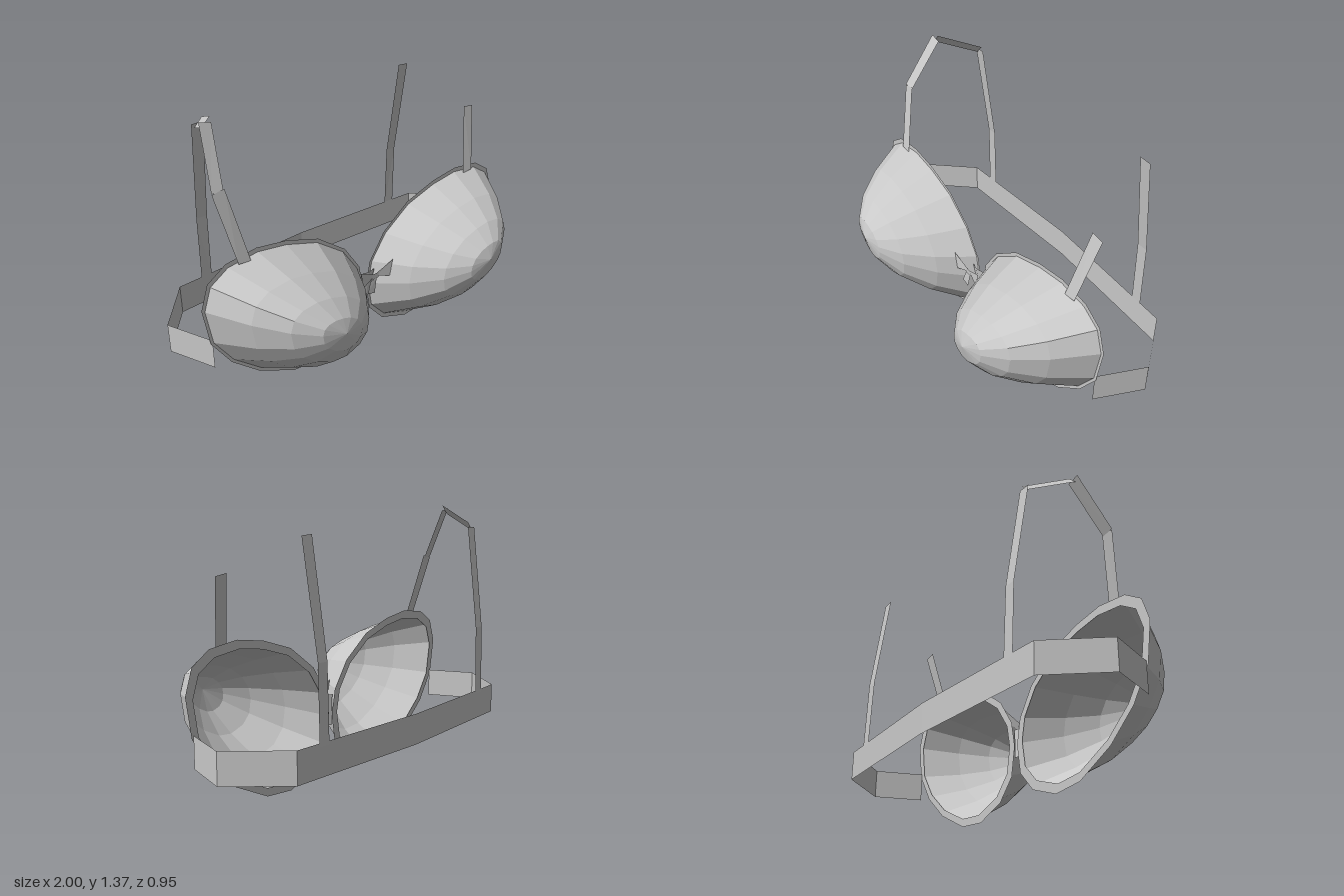
import * as THREE from 'three';

const fabric = new THREE.MeshStandardMaterial({ color: 0xc8c8c8, side: THREE.DoubleSide, flatShading: true });
fabric.name = 'grey fabric';

// Surface through rows of points; each row has the same count
function loft(name, rows, closed = false) {
  const n = rows[0].length, index = [];
  for (let r = 0; r < rows.length - 1; r++) {
    for (let i = 0; i < (closed ? n : n - 1); i++) {
      const j = (i + 1) % n, a = r * n, b = a + n;
      index.push(a + i, a + j, b + i, a + j, b + j, b + i);
    }
  }
  const geo = new THREE.BufferGeometry();
  geo.setAttribute('position', new THREE.Float32BufferAttribute(rows.flat(2), 3));
  geo.setIndex(index);
  const flat = geo.toNonIndexed();
  flat.computeVertexNormals();
  const mesh = new THREE.Mesh(flat, fabric);
  mesh.name = name;
  return mesh;
}

// Outline of the left cup's rim, 16 corners, counted anticlockwise from the outer side
const outline = [
  [0.95, 0.59], [0.91, 0.71], [0.81, 0.775], [0.645, 0.795], [0.48, 0.77], [0.295, 0.71],
  [0.13, 0.59], [0.035, 0.45], [0.01, 0.32], [0.035, 0.17], [0.13, 0.065], [0.30, 0.003],
  [0.465, 0.018], [0.67, 0.12], [0.82, 0.25], [0.92, 0.40],
];
const centre = [0.48, 0.40], rimZ = 0.05;

// Outline shrunk about its centre, with the centre shifted up by dy
const ring = (s, sx, sy, dy, z, side) => outline.map(([x, y]) => [
  side * (centre[0] + (x - centre[0]) * s * sx), centre[1] + dy + (y - centre[1]) * s * sy, z]);

function makeCup(side) {
  const cup = new THREE.Group();
  cup.name = side > 0 ? 'leftCup' : 'rightCup';
  // Parabolic bowl leaning slightly up towards its tip
  const rows = [1, 0.75, 0.5, 0.25, 0].map(r =>
    ring(r, 0.965, 0.94, 0.08 * (1 - r), rimZ + 0.425 * (1 - r * r), side));
  cup.add(loft('cupShell', rows, true));
  // Flat trim around the opening
  cup.add(loft('cupTrim', [ring(1, 1, 1, 0, rimZ, side), ring(1, 0.91, 0.89, 0, rimZ, side)], true));
  return cup;
}

function makeStraps(side) {
  const straps = new THREE.Group();
  straps.name = side > 0 ? 'leftStrap' : 'rightStrap';
  const add = (name, rows) => straps.add(loft(name, rows.map(row => row.map(([x, y, z]) => [side * x, y, z]))));
  // Front strap rising from the cup
  add('frontStrap', [
    [[0.69, 0.755, 0.07], [0.755, 0.76, 0.07]],
    [[0.75, 1.10, -0.005], [0.815, 1.09, -0.005]],
  ]);
  // Shoulder section, on the right side only
  if (side < 0) {
    add('upperStrap', [
      [[0.755, 1.085, -0.005], [0.815, 1.095, -0.005]],
      [[0.70, 1.347, -0.15], [0.762, 1.36, -0.15]],
    ]);
    add('shoulderStrap', [
      [[0.705, 1.375, -0.15], [0.75, 1.33, -0.15]],
      [[0.62, 1.29, -0.362], [0.662, 1.247, -0.362]],
    ]);
  }
  // Rear strap falling to the band
  add('rearStrap', [
    [[0.613, 1.268, -0.365], [0.676, 1.264, -0.365]],
    [[0.60, 0.75, -0.435], [0.66, 0.75, -0.435]],
    [[0.60, 0.40, -0.445], [0.66, 0.40, -0.443]],
  ]);
  return straps;
}

// Band running from one cup round the back to the other
function makeBand() {
  const half = [[0.91, rimZ], [1.0, -0.19], [0.79, -0.435]];
  const path = [...half, [0, -0.475], ...half.map(([x, z]) => [-x, z]).reverse()];
  return loft('backBand', [0.265, 0.415].map(y => path.map(([x, z]) => [x, y, z])));
}

// Small bow and bridge joining the cups
function makeBow() {
  const bow = new THREE.Group();
  bow.name = 'bow';
  for (const s of [1, -1]) {
    bow.add(loft('bowWing', [
      [[s * 0.01, 0.43, 0.13], [s * 0.01, 0.415, 0.13]],
      [[s * 0.108, 0.48, 0.145], [s * 0.088, 0.39, 0.145]],
    ]));
  }
  bow.add(loft('bowKnot', [
    [[-0.02, 0.435, 0.135], [0.02, 0.435, 0.135]],
    [[-0.02, 0.405, 0.135], [0.02, 0.405, 0.135]],
  ]));
  bow.add(loft('bowTail', [
    [[-0.03, 0.395, 0.13], [0.012, 0.405, 0.13]],
    [[-0.05, 0.335, 0.135], [-0.005, 0.32, 0.135]],
  ]));
  bow.add(loft('bridge', [
    [[-0.045, 0.42, 0.075], [0, 0.42, 0.085], [0.045, 0.42, 0.075]],
    [[-0.02, 0.265, 0.06], [0, 0.265, 0.065], [0.02, 0.265, 0.06]],
  ]));
  return bow;
}

export function createModel() {
  const model = new THREE.Group();
  model.name = 'brassiere';
  for (const side of [1, -1]) model.add(makeCup(side), makeStraps(side));
  model.add(makeBand(), makeBow());
  return model;
}
